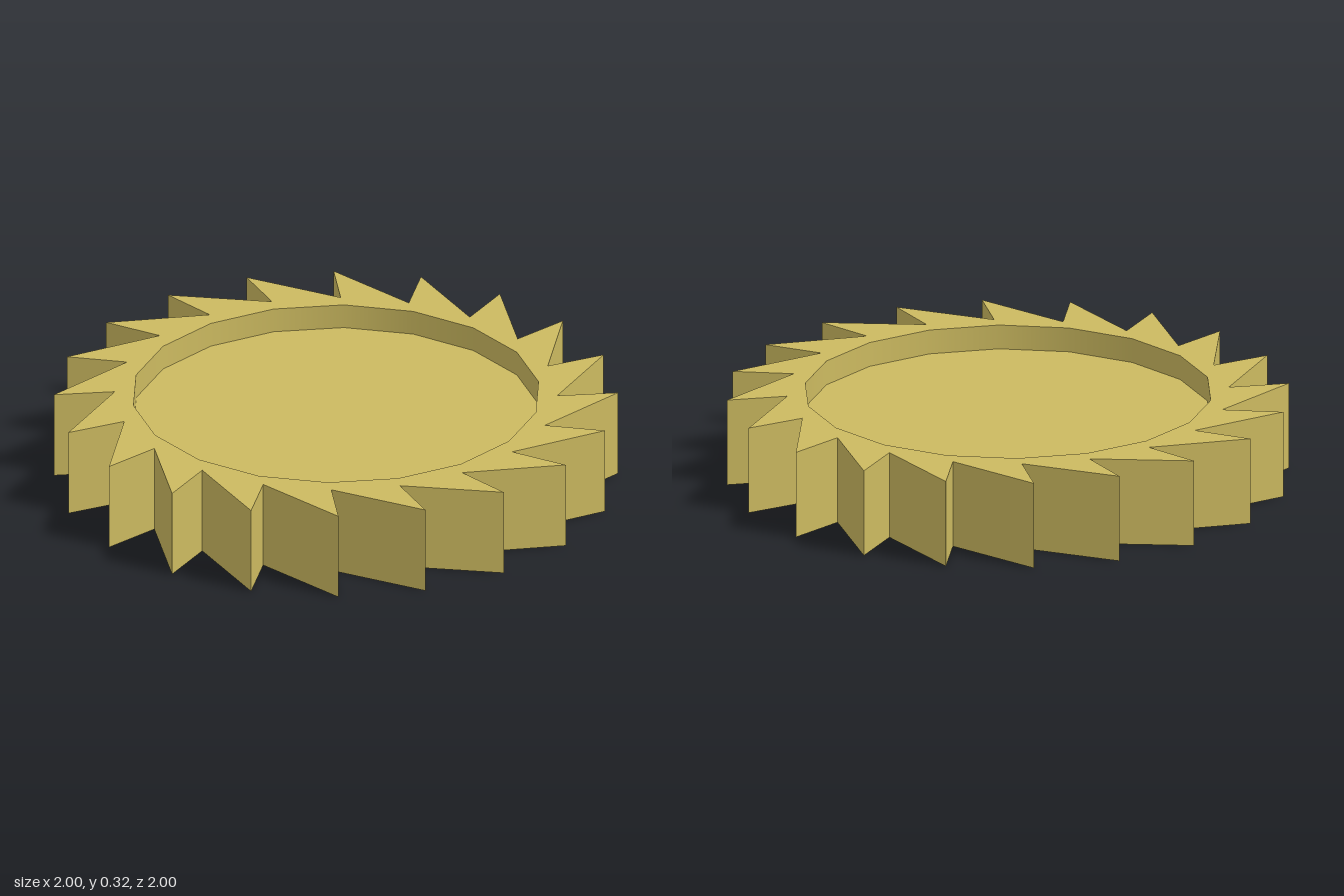
import * as THREE from 'three';

const HEIGHT = 0.32, RECESS = 0.09;
const TEETH = 20, ROOT_R = 0.79, TIP_R = 1.008;
const BORE_R = 0.73, BORE_SIDES = 18;

// point on a circle, angle in degrees clockwise from the back
function polar(radius, degrees) {
  const a = THREE.MathUtils.degToRad(degrees);
  return new THREE.Vector2(radius * Math.sin(a), radius * Math.cos(a));
}

// ring with raked saw teeth outside and a polygonal bore inside
function toothedRingGeometry() {
  const outline = [];
  for (let i = 0; i < TEETH; i++) {
    const a = (i * 360) / TEETH;
    outline.push(polar(ROOT_R, a + 9), polar(TIP_R, a + 7.3));
  }
  const shape = new THREE.Shape(outline);

  // the bore runs opposite to the outline so its wall faces inward
  const bore = [];
  for (let i = 0; i < BORE_SIDES; i++) bore.push(polar(BORE_R, 90 - (i * 360) / BORE_SIDES));
  shape.holes.push(new THREE.Path(bore));

  const geometry = new THREE.ExtrudeGeometry(shape, { depth: HEIGHT, bevelEnabled: false });
  geometry.rotateX(-Math.PI / 2);

  // smooth the bore wall; teeth keep their flat faces
  const p = geometry.attributes.position, n = geometry.attributes.normal;
  for (let i = 0; i < p.count; i++) {
    const r = Math.hypot(p.getX(i), p.getZ(i));
    if (Math.abs(n.getY(i)) < 0.5 && r < BORE_R + 0.01) {
      n.setXYZ(i, -p.getX(i) / r, 0, -p.getZ(i) / r);
    }
  }
  return geometry;
}

export function createModel() {
  const group = new THREE.Group();
  group.name = 'sawToothWheel';
  const brass = new THREE.MeshStandardMaterial({ color: 0xccba60 });
  brass.name = 'brass';

  const ring = new THREE.Mesh(toothedRingGeometry(), brass);
  ring.name = 'toothedRing';
  group.add(ring);

  // web plate, sunk below the ring on both sides
  const web = new THREE.Mesh(
    new THREE.CylinderGeometry(BORE_R, BORE_R, HEIGHT - 2 * RECESS, BORE_SIDES, 1, false, Math.PI / 2),
    brass
  );
  web.name = 'webPlate';
  web.position.y = HEIGHT / 2;
  group.add(web);

  return group;
}
